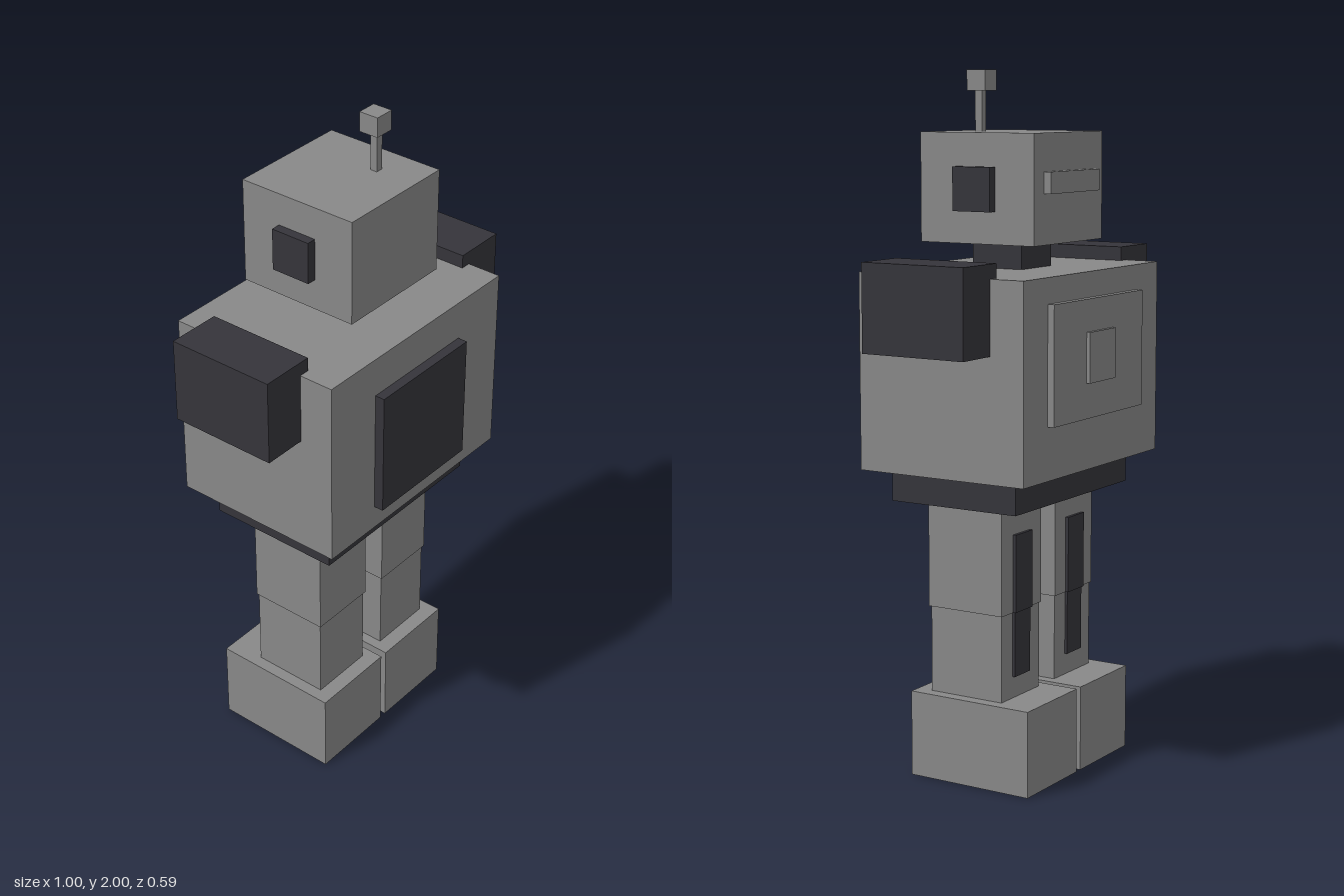
import * as THREE from 'three';

const grey = new THREE.MeshStandardMaterial({ color: 0x888888 });
grey.name = 'grey';
const dark = new THREE.MeshStandardMaterial({ color: 0x35343a });
dark.name = 'charcoal';

export function createModel() {
  const robot = new THREE.Group();
  robot.name = 'robot';

  // Box given by its [min, max] extent along each axis
  function box(name, material, [x0, x1], [y0, y1], [z0, z1]) {
    const mesh = new THREE.Mesh(new THREE.BoxGeometry(x1 - x0, y1 - y0, z1 - z0), material);
    mesh.position.set((x0 + x1) / 2, (y0 + y1) / 2, (z0 + z1) / 2);
    mesh.name = name;
    robot.add(mesh);
  }

  // Same box on the left (+x) and mirrored on the right
  function pair(name, material, [x0, x1], y, z) {
    box(name + 'Left', material, [x0, x1], y, z);
    box(name + 'Right', material, [-x1, -x0], y, z);
  }

  // Head, mouth grille on the back, ears and antenna
  box('head', grey, [-0.185, 0.185], [1.525, 1.83], [-0.185, 0.185]);
  box('backGrille', grey, [-0.133, 0.133], [1.665, 1.725], [-0.207, -0.18]);
  pair('ear', dark, [0.18, 0.213], [1.615, 1.737], [-0.061, 0.061]);
  box('antennaRod', grey, [0.07, 0.092], [1.82, 1.95], [0.042, 0.064]);
  box('antennaTip', grey, [0.05, 0.11], [1.943, 2], [0.02, 0.08]);
  box('neck', dark, [-0.08, 0.08], [1.44, 1.53], [-0.08, 0.08]);

  // Torso with chest plate and stepped back plate
  box('torso', grey, [-0.37, 0.37], [0.895, 1.45], [-0.267, 0.267]);
  box('chestPlate', dark, [-0.185, 0.185], [0.967, 1.335], [0.26, 0.296]);
  box('backPlate', grey, [-0.246, 0.246], [1.045, 1.378], [-0.287, -0.26]);
  box('backButton', grey, [-0.072, 0.072], [1.145, 1.287], [-0.298, -0.28]);
  pair('shoulder', dark, [0.339, 0.5], [1.243, 1.49], [-0.163, 0.163]);
  box('hips', dark, [-0.307, 0.307], [0.803, 0.897], [-0.203, 0.205]);

  // Legs, each with a two-step strip on the back
  pair('thigh', grey, [0.039, 0.248], [0.497, 0.81], [-0.121, 0.123]);
  pair('shin', grey, [0.043, 0.243], [0.24, 0.5], [-0.117, 0.118]);
  pair('thighStrip', dark, [0.099, 0.188], [0.497, 0.72], [-0.13, -0.11]);
  pair('shinStrip', dark, [0.103, 0.184], [0.31, 0.5], [-0.125, -0.11]);
  pair('foot', grey, [0.011, 0.279], [0, 0.248], [-0.225, 0.165]);

  return robot;
}
